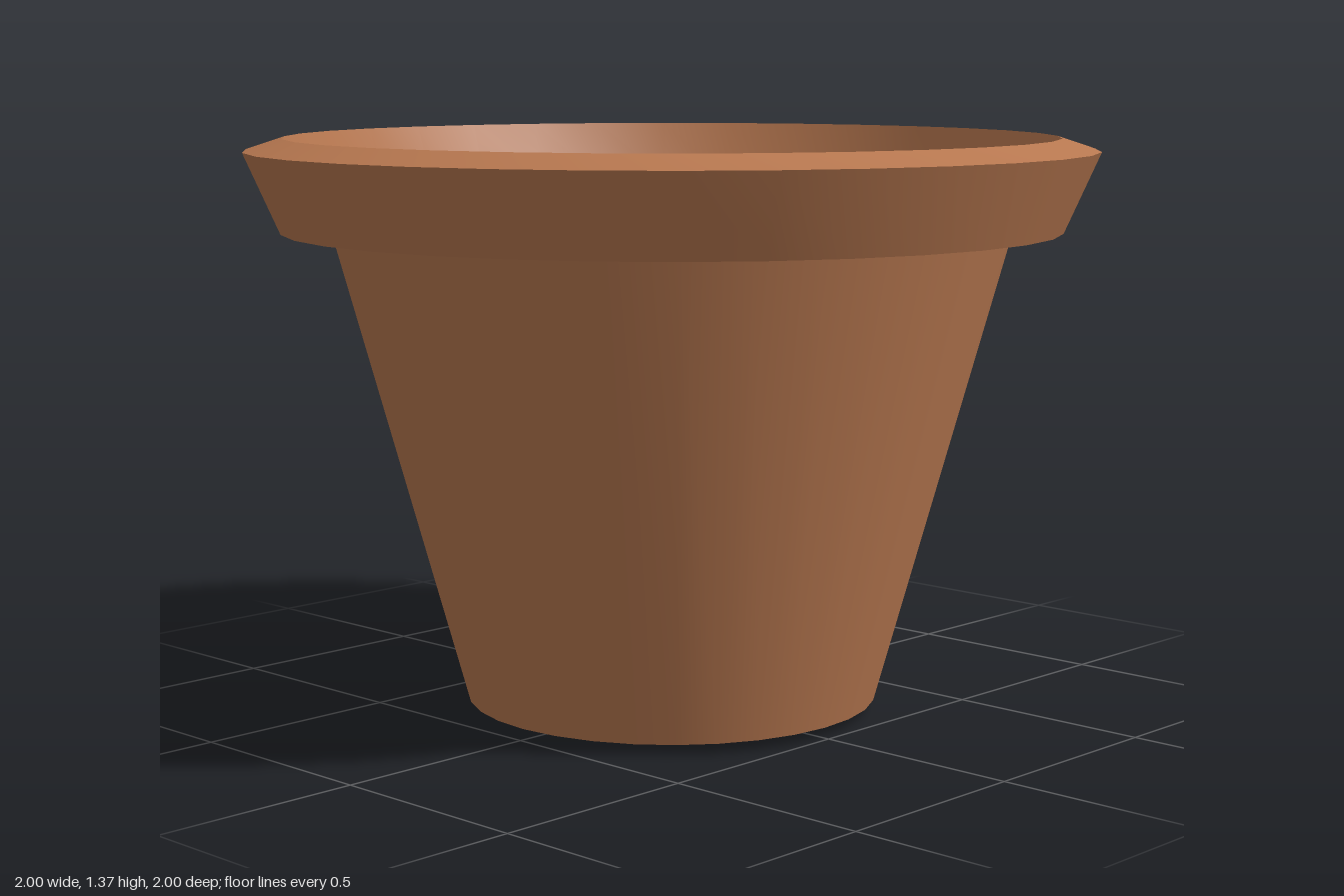
import * as THREE from 'three';
import { toCreasedNormals } from 'three/addons/utils/BufferGeometryUtils.js';

const SIDES = 32;

// Revolve [radius, height] pairs about y, keeping the corners sharp
function turned(name, profile, color) {
  const points = profile.map(([r, y]) => new THREE.Vector2(r, y));
  const geometry = toCreasedNormals(new THREE.LatheGeometry(points, SIDES), 0.45);
  const mesh = new THREE.Mesh(geometry, new THREE.MeshStandardMaterial({ color }));
  mesh.name = name;
  return mesh;
}

export function createModel() {
  const group = new THREE.Group();
  group.name = 'flowerPot';

  // Clay shell: base, tapered wall, flared rim, then the stepped inside
  group.add(turned('pot', [
    [0, 0], [0.49, 0.025],
    [0.8, 1.147], [0.917, 1.147],
    [1, 1.335], [0.91, 1.365],
    [0.86, 1.22], [0.75, 1.22],
    [0.705, 1.07],
  ], 0xb87850));

  // Flat soil surface closing the inside
  group.add(turned('soil', [[0.705, 1.07], [0, 1.07]], 0x5c3a20));

  return group;
}
